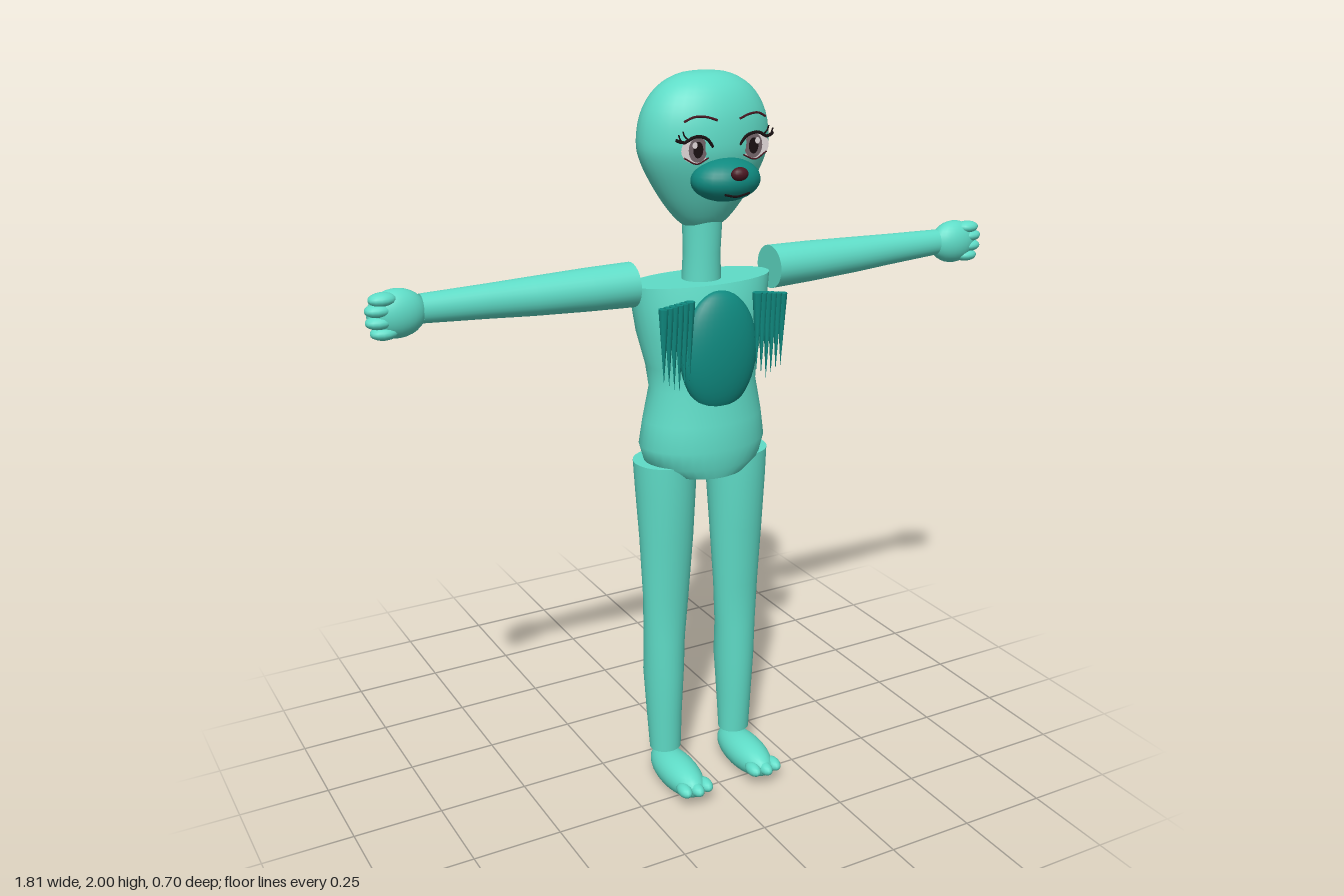
import * as THREE from 'three';

const mat = (name, color) => {
  const m = new THREE.MeshStandardMaterial({ color, side: THREE.DoubleSide });
  m.name = name;
  return m;
};

export function createModel() {
  const fur = mat('light teal fur', 0x5fdcc7);
  const dark = mat('dark teal fur', 0x0f8a80);
  const white = mat('eye white', 0xf0e6e8);
  const grey = mat('iris grey', 0x75666c);
  const black = mat('black', 0x1a1012);
  const maroon = mat('maroon', 0x4a1822);

  const model = new THREE.Group();
  model.name = 'character';
  const V = (x, y, z) => new THREE.Vector3(x, y, z);

  const add = (parent, name, geo, material) => {
    const mesh = new THREE.Mesh(geo, material);
    mesh.name = name;
    parent.add(mesh);
    return mesh;
  };
  const blob = (parent, name, m, pos, r, seg = 24) => {
    const mesh = add(parent, name, new THREE.SphereGeometry(1, seg, Math.ceil(seg * 0.7)), m);
    mesh.position.set(...pos);
    mesh.scale.set(...r);
    return mesh;
  };
  const line = (parent, name, m, pts, r) => add(parent, name,
    new THREE.TubeGeometry(new THREE.CatmullRomCurve3(pts.map(p => V(...p))), 10, r, 5), m);
  const disc = (parent, name, m, x, y, z, rx, ry) => {
    const d = add(parent, name, new THREE.CircleGeometry(1, 28), m);
    d.position.set(x, y, z);
    d.scale.set(rx, ry, 1);
  };

  // Skin through elliptical rings [x, y, z, radiusA, radiusB], capped at both ends
  const loft = (rings, axis, ref = V(0, 0, 1), n = 28) => {
    const pos = [], idx = [];
    const ring = k => {
      const [x, y, z, a, b] = rings[k];
      const prev = rings[Math.max(k - 1, 0)], next = rings[Math.min(k + 1, rings.length - 1)];
      const t = axis || V(next[0] - prev[0], next[1] - prev[1], next[2] - prev[2]).normalize();
      const u = ref.clone().cross(t).normalize(), v = t.clone().cross(u);
      for (let j = 0; j < n; j++) {
        const s = j / n * Math.PI * 2;
        const p = V(x, y, z).addScaledVector(u, a * Math.cos(s)).addScaledVector(v, b * Math.sin(s));
        pos.push(p.x, p.y, p.z);
      }
    };
    rings.forEach((_, k) => ring(k));
    for (let i = 0; i < rings.length - 1; i++) for (let j = 0; j < n; j++) {
      const a = i * n + j, b = i * n + (j + 1) % n;
      idx.push(a, b, b + n, a, b + n, a + n);
    }
    for (const k of [0, rings.length - 1]) {
      const base = pos.length / 3;
      ring(k);
      pos.push(rings[k][0], rings[k][1], rings[k][2]);
      for (let j = 0; j < n; j++) {
        const a = base + j, b = base + (j + 1) % n;
        if (k) idx.push(base + n, a, b); else idx.push(base + n, b, a);
      }
    }
    const g = new THREE.BufferGeometry();
    g.setAttribute('position', new THREE.Float32BufferAttribute(pos, 3));
    g.setIndex(idx);
    g.computeVertexNormals();
    return g;
  };
  const up = V(0, 1, 0), side = V(1, 0, 0);

  // Torso and neck
  add(model, 'torso', loft([
    [0, 0.95, 0.14, 0.12, 0.11], [0, 0.98, 0.137, 0.165, 0.122], [0, 1.03, 0.137, 0.18, 0.127],
    [0, 1.1, 0.139, 0.17, 0.119], [0, 1.19, 0.14, 0.153, 0.103], [0, 1.25, 0.135, 0.16, 0.108],
    [0, 1.34, 0.128, 0.183, 0.118], [0, 1.42, 0.125, 0.197, 0.108], [0, 1.47, 0.125, 0.205, 0.093],
  ], up, V(0, 0, 1), 36), fur);
  add(model, 'neck', loft([
    [0, 1.44, 0.13, 0.054, 0.05], [0, 1.54, 0.132, 0.05, 0.046], [0, 1.66, 0.135, 0.055, 0.048],
  ], up), fur);

  // Egg shaped head, flattened front to back
  const profile = new THREE.SplineCurve([
    [0.0001, 1.6], [0.055, 1.615], [0.1, 1.66], [0.14, 1.72], [0.17, 1.78], [0.18, 1.83],
    [0.168, 1.9], [0.13, 1.958], [0.07, 1.992], [0.0001, 2.0],
  ].map(p => new THREE.Vector2(...p))).getPoints(32);
  const head = add(model, 'head', new THREE.LatheGeometry(profile, 36), fur);
  head.scale.z = 0.68;
  head.position.z = 0.135;

  // Muzzle, nose and mouth
  blob(model, 'muzzle', dark, [0, 1.745, 0.25], [0.093, 0.054, 0.07]);
  blob(model, 'nose', maroon, [0, 1.768, 0.318], [0.023, 0.017, 0.016], 16);
  line(model, 'mouth', black, [[-0.035, 1.718, 0.308], [0, 1.711, 0.306], [0.035, 1.718, 0.308]], 0.003);

  // Chest patch
  blob(model, 'chestPatch', dark, [0, 1.293, 0.225], [0.112, 0.163, 0.048], 32);

  // Tail, bent in straight segments to a point
  add(model, 'tail', loft([
    [0, 1.0, 0.04, 0.055, 0.06], [0, 0.96, -0.1, 0.052, 0.05], [0.1, 0.917, -0.238, 0.05, 0.047],
    [0.18, 1.03, -0.315, 0.035, 0.034], [0.207, 1.235, -0.328, 0.001, 0.001],
  ], null, side, 16), dark);

  // Paired parts, built on +x and mirrored
  for (const s of [1, -1]) {
    const half = new THREE.Group();
    half.name = s > 0 ? 'leftSide' : 'rightSide';
    half.scale.x = s;
    model.add(half);

    add(half, 'arm', loft([
      [0.207, 1.477, 0.135, 0.058, 0.06], [0.33, 1.478, 0.133, 0.055, 0.055],
      [0.48, 1.479, 0.131, 0.049, 0.046], [0.6, 1.481, 0.13, 0.043, 0.038], [0.765, 1.484, 0.13, 0.036, 0.03],
    ], side), fur);

    // Hand and fingers
    blob(half, 'palm', fur, [0.825, 1.481, 0.133], [0.073, 0.06, 0.043]);
    [1.522, 1.497, 1.468, 1.441].forEach((y, i) =>
      blob(half, 'finger', fur, [i % 3 ? 0.872 : 0.862, y, 0.148], [0.035, 0.017, 0.026], 14));

    add(half, 'leg', loft([
      [0.114, 0.105, 0.137, 0.045, 0.042], [0.115, 0.22, 0.133, 0.05, 0.052],
      [0.115, 0.35, 0.13, 0.057, 0.061], [0.115, 0.45, 0.134, 0.059, 0.055],
      [0.112, 0.58, 0.139, 0.066, 0.052], [0.11, 0.76, 0.139, 0.076, 0.066],
      [0.11, 0.9, 0.135, 0.083, 0.08], [0.11, 0.985, 0.132, 0.087, 0.085],
    ], up), fur);

    // Foot and toes
    blob(half, 'foot', fur, [0.112, 0.055, 0.205], [0.054, 0.05, 0.128]);
    for (const dx of [-0.033, 0, 0.033])
      blob(half, 'toe', fur, [0.112 + dx, 0.058, dx ? 0.308 : 0.318], [0.019, 0.018, 0.032], 14);

    // Hanging chest tufts
    for (let i = 0; i < 6; i++) {
      const len = 0.235 - Math.abs(i - 2) * 0.012, x = 0.1 + i * 0.015;
      const tuft = add(half, 'chestTuft', new THREE.ConeGeometry(0.014, len, 8), dark);
      tuft.rotation.x = Math.PI;
      tuft.position.set(x, 1.445 - i * 0.002 - len / 2, 0.25);
    }

    // Eye, built up in thin layers
    const ex = 0.083, ey = 1.823;
    disc(half, 'eyeWhite', white, ex, ey, 0.249, 0.042, 0.033);
    disc(half, 'iris', grey, ex - 0.004, ey, 0.2505, 0.026, 0.031);
    disc(half, 'pupil', black, ex - 0.004, ey, 0.252, 0.014, 0.02);
    disc(half, 'eyeGlint', white, ex + 0.006, ey + 0.012, 0.2535, 0.007, 0.008);

    // Lashes and brow
    line(half, 'upperLash', black, [[0.038, 1.828, 0.252], [0.058, 1.85, 0.254],
      [0.09, 1.856, 0.254], [0.118, 1.843, 0.25], [0.138, 1.85, 0.246]], 0.0042);
    line(half, 'lowerLash', maroon, [[0.05, 1.802, 0.252], [0.083, 1.789, 0.252], [0.118, 1.806, 0.25]], 0.002);
    for (const [x, y] of [[0.108, 1.85], [0.12, 1.843]])
      line(half, 'lash', black, [[x, y, 0.252], [x + 0.009, y + 0.008, 0.252], [x + 0.014, y + 0.02, 0.252]], 0.002);
    line(half, 'brow', maroon, [[0.032, 1.893, 0.262], [0.06, 1.902, 0.258],
      [0.09, 1.903, 0.252], [0.115, 1.892, 0.245]], 0.003);
  }
  return model;
}
